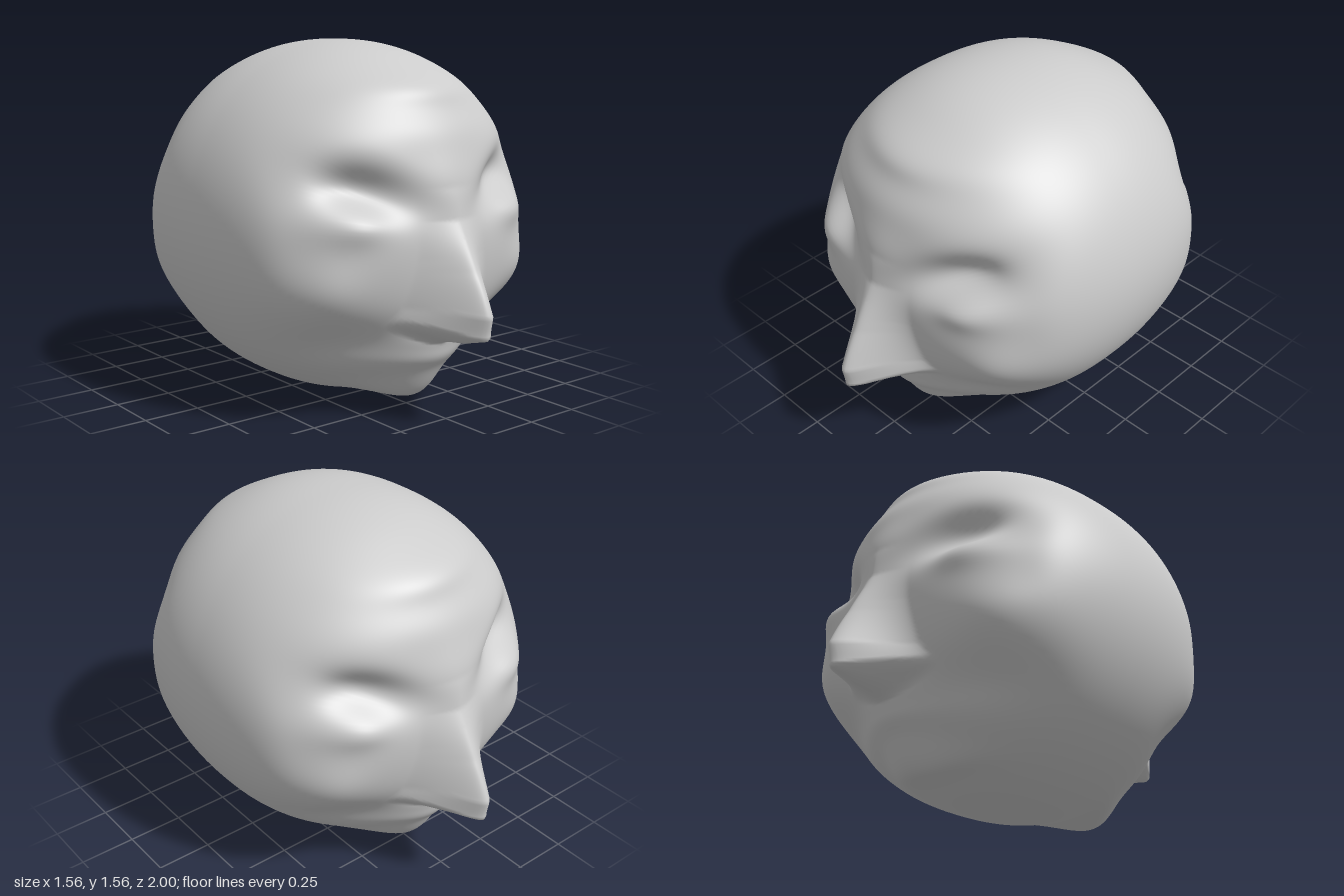
import * as THREE from 'three';
import { mergeVertices } from 'three/addons/utils/BufferGeometryUtils.js';

const R = 0.78;   // radius of the round outline
const P = 2.35;   // fullness of the head from front to back

// soft round or oval bump, optionally tilted
function bump(x, y, cx, cy, sx, sy, tilt = 0) {
  const c = Math.cos(tilt), s = Math.sin(tilt);
  const u = ((x - cx) * c + (y - cy) * s) / sx;
  const v = ((y - cy) * c - (x - cx) * s) / sy;
  return Math.exp(-0.5 * (u * u + v * v));
}

// linear interpolation through [position, value] pairs
function along(points, t) {
  if (t <= points[0][0]) return points[0][1];
  for (let i = 1; i < points.length; i++) {
    const [a, va] = points[i - 1], [b, vb] = points[i];
    if (t <= b) return va + (vb - va) * (t - a) / (b - a);
  }
  return points[points.length - 1][1];
}

// nose: height and half width along y
const noseHeight = [[0.32, 0], [0.338, 0.05], [0.352, 0.15], [0.385, 0.268], [0.48, 0.257],
  [0.65, 0.14], [0.85, 0.025], [0.98, 0]];
const noseWidth = [[0.4, 0.26], [0.5, 0.2], [0.7, 0.16], [0.9, 0.14]];

function nose(x, y) {
  const rounded = Math.hypot(x, 0.03) - 0.03;   // softens the ridge
  const t = Math.max(0, 1 - rounded / along(noseWidth, y));
  // the underside rises toward the nostrils
  return along(noseHeight, y - 0.38 * rounded * bump(0, y, 0, 0.4, 1, 0.08)) * Math.pow(t, 1.5);
}

// relief of one face; x is the distance from the middle line
function relief(x, y) {
  return nose(x, y)
    - 0.065 * bump(x, y, 0.43, 0.95, 0.12, 0.08, 0.2)    // eye socket
    - 0.07 * bump(x, y, 0.34, 0.98, 0.13, 0.06, 0.4)     // crease over the eye
    + 0.05 * bump(x, y, 0.43, 0.86, 0.09, 0.055)         // eye
    + 0.02 * bump(x, y, 0, 1.22, 0.25, 0.07)             // lower forehead
    + 0.045 * bump(x, y, 0, 1.37, 0.24, 0.05)            // upper forehead
    + 0.02 * bump(x, y, 0, 1.0, 0.1, 0.1)                // bridge
    + 0.05 * bump(x, y, 0.57, 0.56, 0.11, 0.1)           // cheek
    + 0.03 * bump(x, y, 0.73, 0.78, 0.06, 0.35)          // side of the head
    - 0.04 * bump(x, y, 0.4, 0.34, 0.13, 0.07)           // hollow under the cheek
    + 0.065 * bump(x, y, 0, 0.24, 0.15, 0.045)           // lips
    + 0.03 * bump(x, y, 0, 0.33, 0.12, 0.04)             // upper lip
    + 0.08 * bump(x, y, 0, 0.145, 0.14, 0.042);          // chin
}

export function createModel() {
  const group = new THREE.Group();

  // a ball with its poles facing front and back, carrying the same face on both sides
  let geometry = new THREE.SphereGeometry(R, 160, 200).rotateX(Math.PI / 2);
  geometry.deleteAttribute('uv');
  geometry.deleteAttribute('normal');
  geometry = mergeVertices(geometry, 1e-5);

  const pos = geometry.attributes.position;
  for (let i = 0; i < pos.count; i++) {
    const x = pos.getX(i), y = pos.getY(i) + R;
    const side = Math.sign(pos.getZ(i));
    const r = Math.min(1, Math.hypot(x, y - R) / R);
    const depth = R * Math.pow(Math.max(0, 1 - Math.pow(r, P)), 1 / P);
    const fade = 1 - Math.pow(r, 24);
    const z = depth + fade * relief(Math.abs(x), y);
    // the chin juts downward
    const drop = 0.07 * fade * bump(x, y, 0, 0.115, 0.14, 0.024);
    pos.setXYZ(i, x, y - drop, Math.abs(pos.getZ(i)) < 1e-5 ? 0 : side * z);
  }
  geometry.computeVertexNormals();

  const head = new THREE.Mesh(geometry, new THREE.MeshStandardMaterial({ color: 0xcccccc }));
  head.name = 'twoFacedHead';
  group.add(head);
  return group;
}
